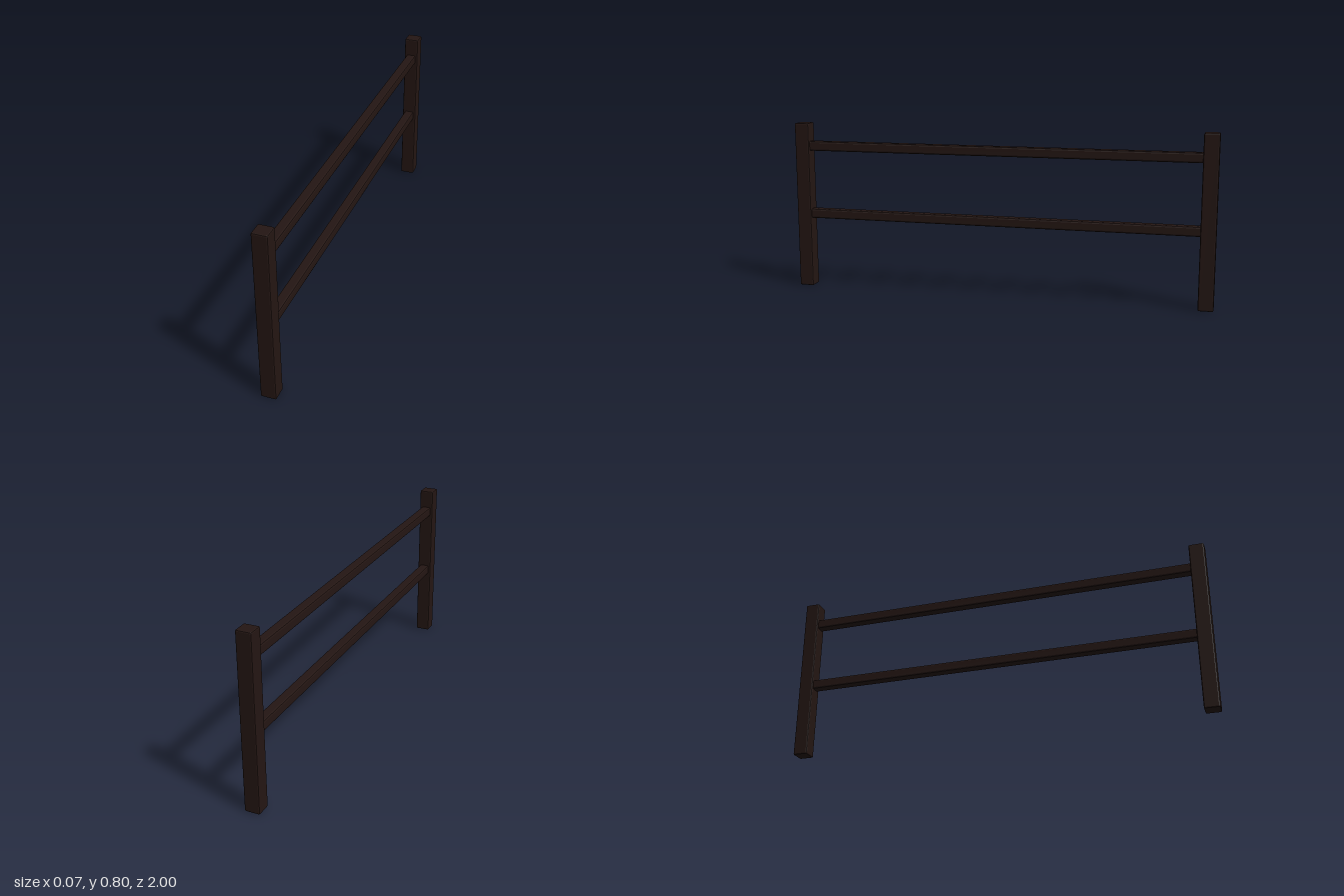
import * as THREE from 'three';
import { RoundedBoxGeometry } from 'three/addons/geometries/RoundedBoxGeometry.js';

export function createModel() {
  const model = new THREE.Group();
  model.name = 'fence';
  const wood = new THREE.MeshStandardMaterial({ color: 0x241613, flatShading: true });

  // Beam with narrow bevelled edges
  const addBeam = (name, [w, h, d], bevel, y, z) => {
    const beam = new THREE.Mesh(new RoundedBoxGeometry(w, h, d, 1, bevel), wood);
    beam.name = name;
    beam.position.set(0, y, z);
    model.add(beam);
  };

  // Upright posts at both ends
  addBeam('frontPost', [0.07, 0.8, 0.07], 0.006, 0.4, 0.965);
  addBeam('backPost', [0.07, 0.8, 0.07], 0.006, 0.4, -0.965);

  // Horizontal rails, ends let into the posts
  addBeam('upperRail', [0.046, 0.046, 1.89], 0.008, 0.69, 0);
  addBeam('lowerRail', [0.046, 0.046, 1.89], 0.008, 0.36, 0);

  return model;
}
